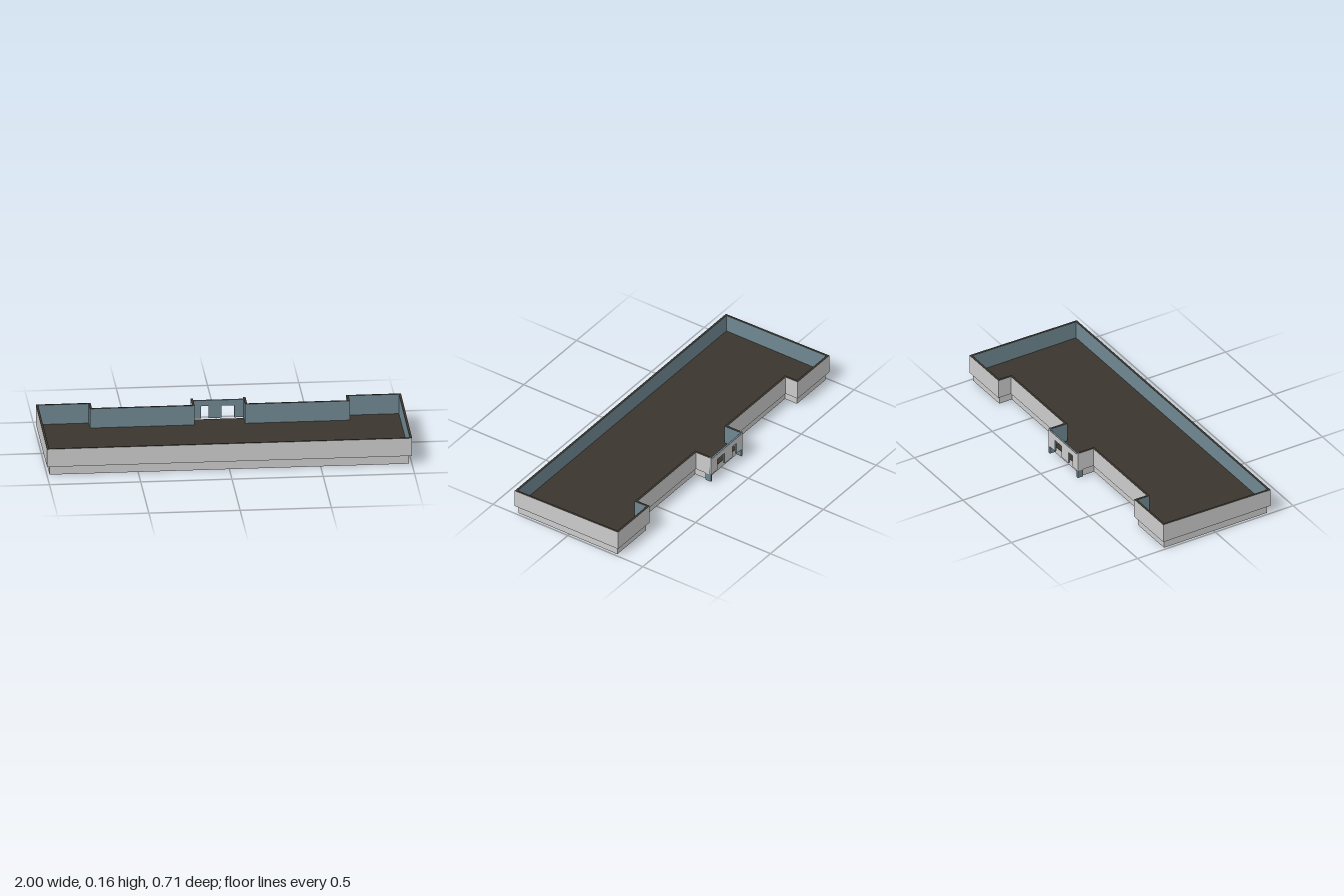
import * as THREE from 'three';

const grey = new THREE.MeshStandardMaterial({ color: 0xcccccc, side: THREE.DoubleSide });
const teal = new THREE.MeshStandardMaterial({ color: 0x6f8791, side: THREE.DoubleSide });
const dark = new THREE.MeshStandardMaterial({ color: 0x3a352d, side: THREE.DoubleSide });

const LEDGE = 0.05;    // height where the upper walls begin
const THICK = 0.012;   // wall thickness
const BACK = -0.355;   // rear face of the porch
const topAt = z => 0.158 - 0.0141 * z;   // the rim rises gently to the back

// Closed outline in [x, z]: mirrored left to right, with a central porch
function outline(porchZ) {
  const half = [[0.15, porchZ], [0.15, -0.255], [0.7, -0.255], [0.7, -0.335], [1, -0.335], [1, 0.355]];
  return [...half, ...half.map(([x, z]) => [-x, z]).reverse()];
}

// Move every edge of a right-angled outline inwards by d
function inset(points, d) {
  const n = points.length;
  const inward = (a, b) => [-Math.sign(b[1] - a[1]), Math.sign(b[0] - a[0])];
  return points.map((p, i) => {
    const u = inward(points[(i + n - 1) % n], p);
    const v = inward(p, points[(i + 1) % n]);
    return [p[0] + d * (u[0] + v[0]), p[1] + d * (u[1] + v[1])];
  });
}

const toShape = points => new THREE.Shape(points.map(([x, z]) => new THREE.Vector2(x, -z)));

// Flat-shaded band between two lines of 3D points
function band(a, b) {
  const pos = [];
  for (let i = 0; i < a.length - 1; i++) {
    pos.push(...a[i], ...b[i], ...b[i + 1], ...a[i], ...b[i + 1], ...a[i + 1]);
  }
  const geometry = new THREE.BufferGeometry();
  geometry.setAttribute('position', new THREE.Float32BufferAttribute(pos, 3));
  geometry.computeVertexNormals();
  return geometry;
}

export function createModel() {
  const group = new THREE.Group();
  const add = (name, geometry, material) => {
    const mesh = new THREE.Mesh(geometry, material);
    mesh.name = name;
    group.add(mesh);
    return mesh;
  };

  // Recessed plinth with a dark underside
  const plinth = new THREE.ExtrudeGeometry(toShape(inset(outline(-0.335), 0.015)),
    { depth: LEDGE - 0.001, bevelEnabled: false });
  add('plinth', plinth.rotateX(-Math.PI / 2), [dark, grey]);

  // Floor slab, overhanging the plinth up to the walls
  const floor = new THREE.ShapeGeometry(toShape(outline(-0.328)));
  add('floor', floor.rotateX(-Math.PI / 2).translate(0, LEDGE, 0), dark);

  // Perimeter walls, open at the porch
  const outer = outline(BACK), inner = inset(outer, THICK);
  const low = line => line.map(([x, z]) => [x, LEDGE, z]);
  const high = line => line.map(([x, z]) => [x, topAt(z), z]);
  add('outerWall', band(low(outer), high(outer)), grey);
  add('innerWall', band(high(inner), low(inner)), teal);
  add('wallRim', band(high(outer), high(inner)), dark);

  // Porch wall with two doorways reaching down to its lower edge
  const post = 0.15 - THICK, lintel = 0.12, wallTop = 0.153, postTop = topAt(BACK);
  const porch = new THREE.Shape([
    [-0.15, LEDGE], [-0.094, LEDGE], [-0.094, lintel], [-0.053, lintel], [-0.053, LEDGE],
    [0.017, LEDGE], [0.017, lintel], [0.088, lintel], [0.088, LEDGE], [0.15, LEDGE],
    [0.15, postTop], [post, postTop], [post, wallTop],
    [-post, wallTop], [-post, postTop], [-0.15, postTop],
  ].map(([x, y]) => new THREE.Vector2(x, y)));
  const porchWall = new THREE.ExtrudeGeometry(porch, { depth: THICK - 0.002, bevelEnabled: false });
  add('porchWall', porchWall.translate(0, 0, BACK + 0.001), teal);
  add('porchFacing', new THREE.ShapeGeometry(porch).translate(0, 0, BACK), grey);

  // Short supports under the porch sides
  for (const side of [-1, 1]) {
    const support = add('porchSupport', new THREE.BoxGeometry(THICK, 0.045, 0.035), teal);
    support.position.set(side * (0.15 - THICK / 2), 0.0275, BACK + 0.0175);
  }
  return group;
}
